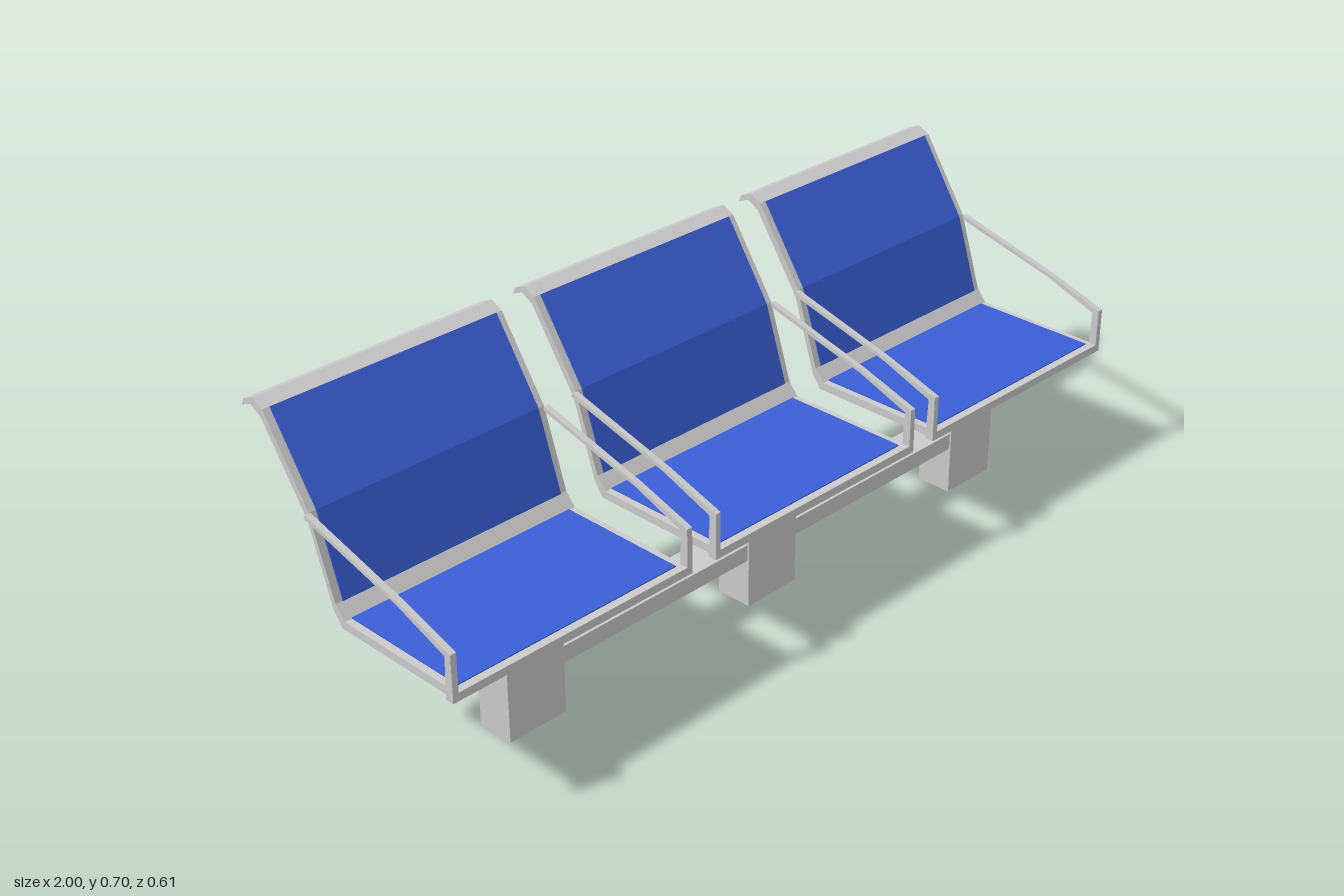
import * as THREE from 'three';

const grey = new THREE.MeshStandardMaterial({ color: 0xcccccc, flatShading: true });
const blue = new THREE.MeshStandardMaterial({ color: 0x3a5ed6, flatShading: true });

// Extrude a side profile of [z, y] points across x, centred on x = 0
function profile(name, points, width, material) {
  const shape = new THREE.Shape(points.map(([z, y]) => new THREE.Vector2(z, y)));
  const geometry = new THREE.ExtrudeGeometry(shape, { depth: width, bevelEnabled: false });
  geometry.translate(0, 0, -width / 2).rotateY(-Math.PI / 2);
  const mesh = new THREE.Mesh(geometry, material);
  mesh.name = name;
  return mesh;
}

function box(name, w, h, d, x, y, z) {
  const mesh = new THREE.Mesh(new THREE.BoxGeometry(w, h, d), grey);
  mesh.position.set(x, y, z);
  mesh.name = name;
  return mesh;
}

// Upper and lower lines of the bent shell
const upper = [[0.305, 0.301], [-0.03, 0.301], [-0.055, 0.33], [-0.115, 0.51],
  [-0.235, 0.688], [-0.265, 0.703], [-0.295, 0.69]];
const lower = [[-0.302, 0.674], [-0.273, 0.686], [-0.243, 0.67], [-0.122, 0.492],
  [-0.063, 0.312], [-0.04, 0.282], [0.305, 0.282]];

// Front upright and sloping rail in one piece
const arm = [[0.305, 0.282], [0.305, 0.39], [0.16, 0.437], [-0.113, 0.51],
  [-0.117, 0.501], [0.157, 0.429], [0.288, 0.38], [0.284, 0.282]];

const backPad = [[-0.055, 0.33], [-0.115, 0.51], [-0.235, 0.688],
  [-0.232, 0.69], [-0.1125, 0.5115], [-0.0525, 0.331]];
const seatPad = [[0.286, 0.3], [0.286, 0.3035], [-0.03, 0.3035], [-0.03, 0.3]];

function createSeat() {
  const seat = new THREE.Group();
  seat.name = 'seat';
  seat.add(profile('shell', [...upper, ...lower], 0.6, grey));
  seat.add(profile('seatPad', seatPad, 0.566, blue));
  seat.add(profile('backPad', backPad, 0.566, blue));
  for (const side of [-1, 1]) {
    const armrest = profile(side > 0 ? 'leftArmrest' : 'rightArmrest', arm, 0.014, grey);
    armrest.position.x = side * 0.304;
    seat.add(armrest);
  }
  return seat;
}

export function createModel() {
  const bench = new THREE.Group();
  bench.name = 'seatRow';

  // Three seats, each on its own post
  for (const x of [-0.689, 0, 0.689]) {
    const seat = createSeat();
    seat.position.x = x;
    bench.add(seat, box('post', 0.15, 0.283, 0.09, x, 0.1415, 0.13));
  }

  // Beams joining the posts
  for (const side of [-1, 1]) {
    bench.add(box('beam', 0.539, 0.04, 0.085, side * 0.3445, 0.135, 0.1285));
  }
  return bench;
}
